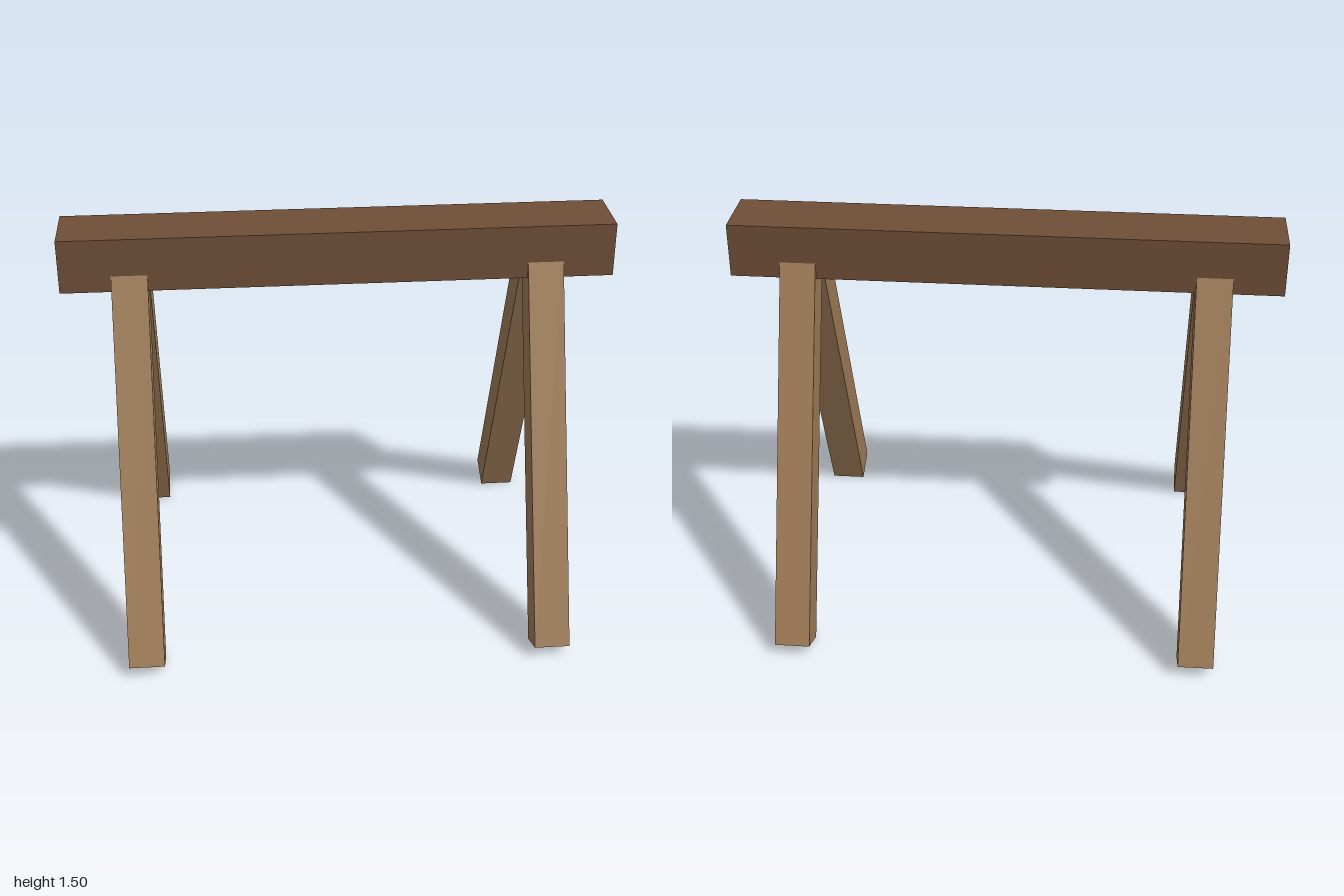
import * as THREE from 'three';

export function createModel() {
  const model = new THREE.Group();
  model.name = 'sawhorse';
  const beamWood = new THREE.MeshStandardMaterial({ color: 0x6f4e37 });
  const legWood = new THREE.MeshStandardMaterial({ color: 0x9c7a56 });

  // Top beam
  const beam = new THREE.Mesh(new THREE.BoxGeometry(2, 0.2, 0.234), beamWood);
  beam.name = 'beam';
  beam.position.y = 1.405;
  model.add(beam);

  // Four splayed legs, their upper ends buried in the beam
  const tilt = 0.4, length = 1.5, thickness = 0.13;
  const legGeometry = new THREE.BoxGeometry(thickness, length, thickness);
  legGeometry.translate(0, length / 2, 0);
  for (const side of [1, -1]) {
    for (const end of [1, -1]) {
      const leg = new THREE.Mesh(legGeometry, legWood);
      leg.name = (end > 0 ? 'front' : 'back') + (side > 0 ? 'Left' : 'Right') + 'Leg';
      leg.position.set(side * 0.75, Math.sin(tilt) * thickness / 2, end * 0.613);
      leg.rotation.x = -end * tilt;
      model.add(leg);
    }
  }
  return model;
}
